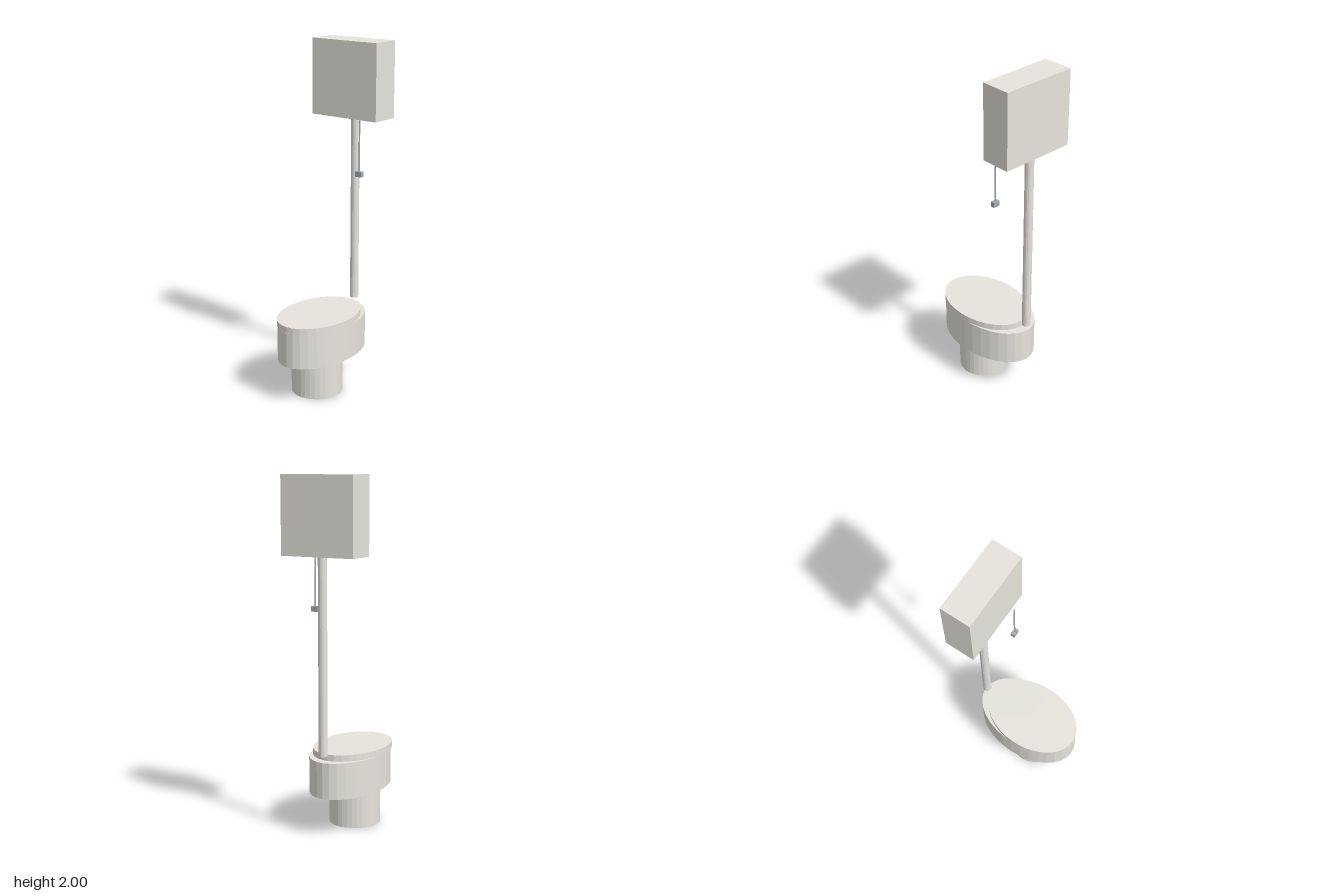
import * as THREE from 'three';

export function createModel() {
  const model = new THREE.Group();
  const porcelain = new THREE.MeshStandardMaterial({ color: 0xe6e4dc, flatShading: true });
  porcelain.name = 'porcelain';
  const metal = new THREE.MeshStandardMaterial({ color: 0xa3abb2, flatShading: true });
  metal.name = 'metal';

  function add(name, geometry, material, x, y, z) {
    const mesh = new THREE.Mesh(geometry, material);
    mesh.name = name;
    mesh.position.set(x, y, z);
    model.add(mesh);
  }

  // Upright elliptical drum between two heights
  function drum(name, material, rx, rz, y0, y1, x, z, sides) {
    const geometry = new THREE.CylinderGeometry(1, 1, y1 - y0, sides).scale(rx, 1, rz);
    add(name, geometry, material, x, (y0 + y1) / 2, z);
  }

  // Pedestal, bowl and closed lid
  drum('pedestal', porcelain, 0.148, 0.148, 0, 0.227, 0, 0.073, 32);
  drum('bowl', porcelain, 0.2, 0.32, 0.227, 0.433, 0, 0.025, 32);
  drum('lid', porcelain, 0.202, 0.293, 0.433, 0.469, 0, 0.051, 32);

  // High cistern and its flush pipe
  drum('flushPipe', porcelain, 0.025, 0.025, 0.469, 1.569, 0, -0.284, 16);
  add('cistern', new THREE.BoxGeometry(0.444, 0.433, 0.175), porcelain, 0, 1.7835, -0.2575);

  // Pull chain with a small block handle
  drum('pullChain', metal, 0.004, 0.004, 1.278, 1.569, 0.124, -0.155, 8);
  add('pullHandle', new THREE.BoxGeometry(0.041, 0.03, 0.024), metal, 0.124, 1.264, -0.155);

  return model;
}
